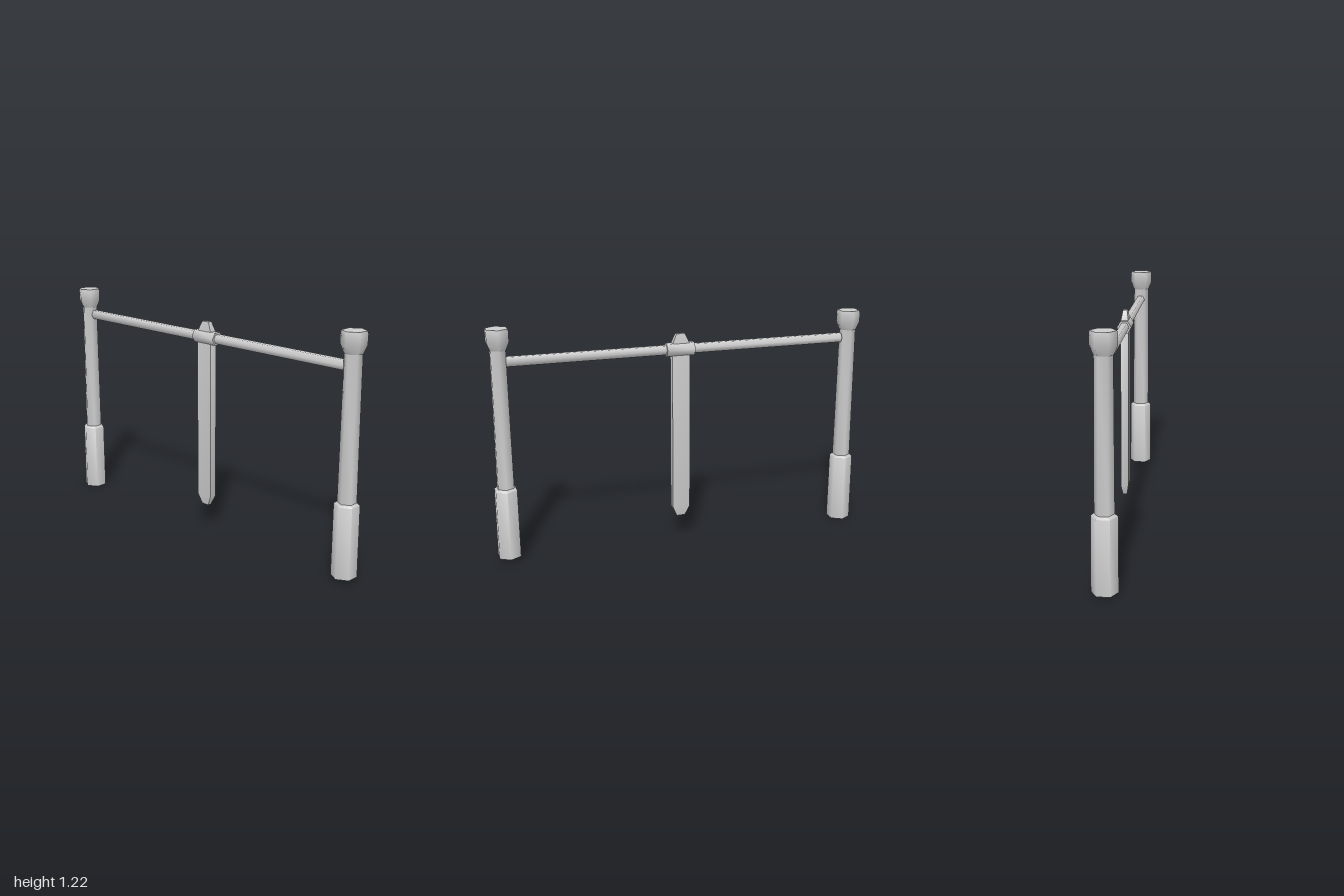
import * as THREE from 'three';
import { toCreasedNormals } from 'three/addons/utils/BufferGeometryUtils.js';

const CREASE = THREE.MathUtils.degToRad(65);
const grey = new THREE.MeshStandardMaterial({ color: 0xcccccc });

function part(name, geometry) {
  const mesh = new THREE.Mesh(toCreasedNormals(geometry, CREASE), grey);
  mesh.name = name;
  return mesh;
}

// Six-sided turned shape with corners facing front and back
function hexLathe(name, profile) {
  return part(name, new THREE.LatheGeometry(profile.map(([r, y]) => new THREE.Vector2(r, y)), 6));
}

// Post: thick base sleeve, slim shaft and flared cap
function post(name, x, y) {
  const group = new THREE.Group();
  group.name = name;
  group.add(
    hexLathe('base', [[0, 0], [0.064, 0], [0.0625, 0.367], [0.049, 0.378], [0, 0.378]]),
    hexLathe('shaft', [[0.047, 0.37], [0.043, 1.11]]),
    hexLathe('cap', [[0, 1.095], [0.045, 1.095], [0.062, 1.135], [0.0635, 1.185], [0.059, 1.2], [0, 1.2]])
  );
  group.position.set(x, y, 0);
  return group;
}

// Horizontal hexagonal bar from x0 to x1
function hexBar(name, x0, x1, radius) {
  const geometry = new THREE.CylinderGeometry(radius, radius, x1 - x0, 6);
  geometry.rotateZ(Math.PI / 2);
  const mesh = part(name, geometry);
  mesh.position.set((x0 + x1) / 2, 1.053, -0.003);
  return mesh;
}

// Hanging blade, full width in the middle and pinched at both ends
function blade() {
  const geometry = new THREE.BoxGeometry(0.095, 1.005, 0.04, 1, 3, 1);
  const p = geometry.attributes.position;
  for (let i = 0; i < p.count; i++) {
    const y = p.getY(i);
    if (Math.abs(y) > 0.4) {
      p.setX(i, p.getX(i) * 0.48);
      p.setZ(i, p.getZ(i) * 0.55);
    } else {
      p.setY(i, Math.sign(y) * 0.4475);
    }
  }
  const mesh = part('hangingBlade', geometry);
  mesh.position.set(0.0125, 0.6325, -0.003);
  return mesh;
}

export function createModel() {
  const model = new THREE.Group();
  model.name = 'gate';
  model.add(
    post('rightPost', -0.945, 0),
    post('leftPost', 0.945, 0.02),
    hexBar('crossbar', -0.9, 0.91, 0.027),
    hexBar('collar', -0.06, 0.09, 0.0375),
    blade()
  );
  return model;
}
